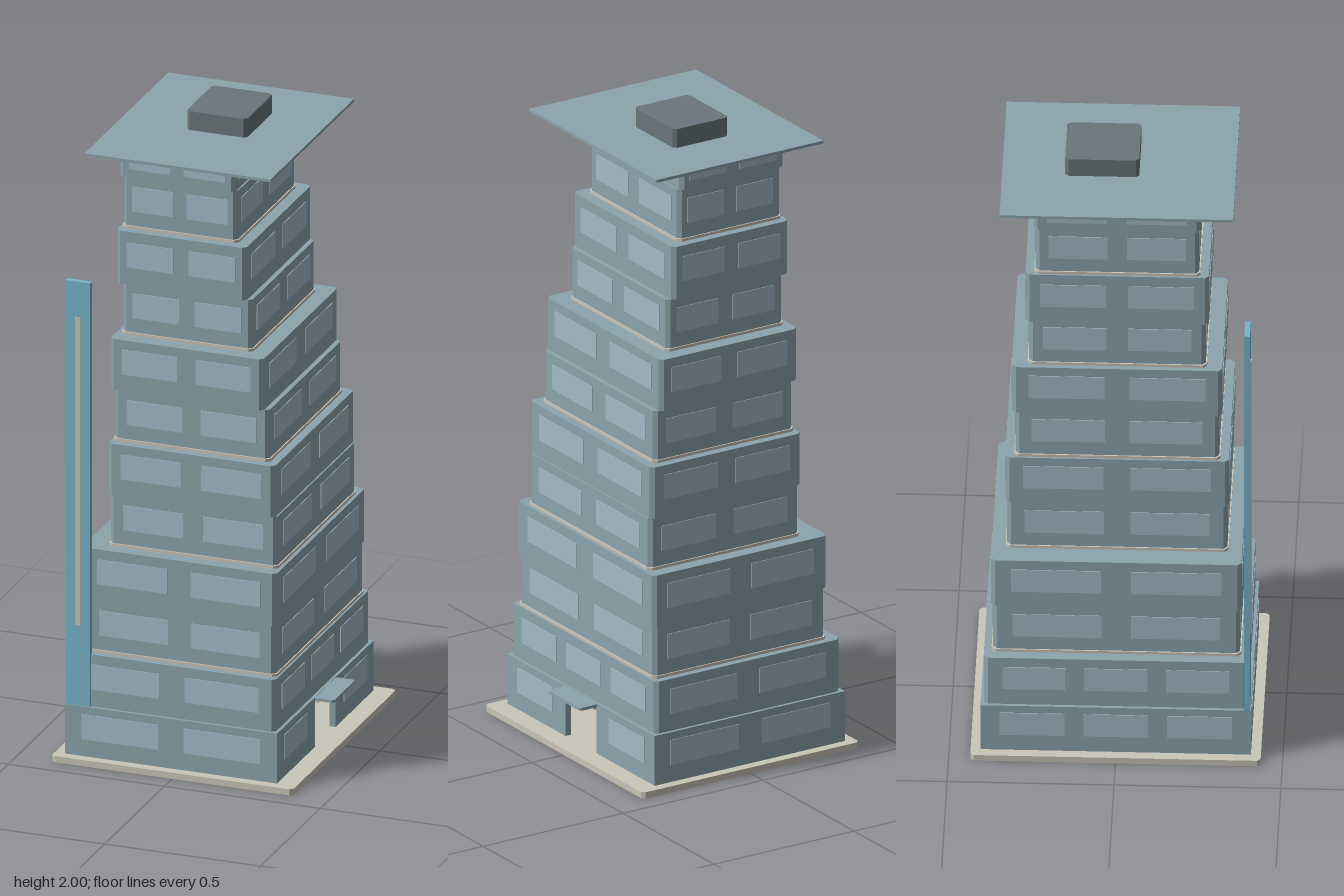
import * as THREE from 'three';

const mat = (name, color) => {
  const m = new THREE.MeshStandardMaterial({ color });
  m.name = name;
  return m;
};

export function createModel() {
  const wall = mat('blue grey wall', 0x8ca5ad);
  const glass = mat('pale window glass', 0xa4bccb);
  const stone = mat('beige stone', 0xcac6b9);
  const finBlue = mat('blue fin', 0x79b4cb);
  const dark = mat('dark roof grey', 0x69767b);
  const model = new THREE.Group();
  model.name = 'tower';

  function add(name, geometry, material, parent = model) {
    const mesh = new THREE.Mesh(geometry, material);
    mesh.name = name;
    parent.add(mesh);
    return mesh;
  }

  // Box given by its limits on each axis
  function box(name, material, x0, x1, y0, y1, z0, z1, parent) {
    const g = new THREE.BoxGeometry(x1 - x0, y1 - y0, z1 - z0);
    g.translate((x0 + x1) / 2, (y0 + y1) / 2, (z0 + z1) / 2);
    return add(name, g, material, parent);
  }

  // Upright block with chamfered vertical corners
  function block(name, material, x0, x1, y0, y1, z0, z1, c, parent) {
    const s = new THREE.Shape([
      [x0 + c, -z1], [x1 - c, -z1], [x1, -z1 + c], [x1, -z0 - c],
      [x1 - c, -z0], [x0 + c, -z0], [x0, -z0 - c], [x0, -z1 + c],
    ].map(([x, y]) => new THREE.Vector2(x, y)));
    const g = new THREE.ExtrudeGeometry(s, { depth: y1 - y0, bevelEnabled: false });
    g.rotateX(-Math.PI / 2).translate(0, y0, 0);
    return add(name, g, material, parent);
  }

  // Base slab
  block('baseSlab', stone, -0.387, 0.387, 0, 0.02, -0.435, 0.435, 0.01);

  // Storeys: bottom, top, right wall, left wall, half depth
  const storeys = [
    [0.02, 0.18, -0.355, 0.325, 0.405],
    [0.18, 0.347, -0.345, 0.315, 0.395],
    [0.347, 0.513, -0.307, 0.305, 0.37],
    [0.513, 0.68, -0.312, 0.31, 0.375],
    [0.68, 0.845, -0.24, 0.295, 0.33],
    [0.845, 1.01, -0.245, 0.29, 0.335],
    [1.01, 1.175, -0.235, 0.26, 0.305],
    [1.175, 1.34, -0.245, 0.245, 0.315],
    [1.34, 1.505, -0.225, 0.19, 0.265],
    [1.505, 1.675, -0.24, 0.175, 0.275],
    [1.675, 1.84, -0.23, 0.135, 0.245],
    [1.84, 1.935, -0.24, 0.13, 0.25],
  ];
  const pair = [[0.08, 0.44], [0.56, 0.92]];
  const triple = [[0.07, 0.31], [0.38, 0.62], [0.69, 0.93]];
  const t = 0.002;

  storeys.forEach(([y0, y1, x0, x1, z], i) => {
    const storey = new THREE.Group();
    storey.name = `storey${i + 1}`;
    model.add(storey);

    if (i === 0) {
      // Hollow ground floor with a doorway in the left wall
      const w = 0.02, d = 0.085, doorTop = 0.165;
      box('frontWall', wall, x0, x1, y0, y1, z - w, z, storey);
      box('backWall', wall, x0, x1, y0, y1, -z, -z + w, storey);
      box('rightWall', wall, x0, x0 + w, y0, y1, -z + w, z - w, storey);
      box('doorWallFront', wall, x1 - w, x1, y0, y1, d, z - w, storey);
      box('doorWallBack', wall, x1 - w, x1, y0, y1, -z + w, -d, storey);
      box('doorWallTop', wall, x1 - w, x1, doorTop, y1, -d, d, storey);
      box('ceiling', wall, x0 + w, x1 - w, y1 - 0.01, y1, -z + w, z - w, storey);
    } else {
      block('walls', wall, x0, x1, y0, y1, -z, z, 0.012, storey);
      // Stone band at the foot of each pair of storeys
      if (i % 2 === 0) {
        block('stoneBand', stone, x0 - 0.004, x1 + 0.004, y0 - 0.002, y0 + 0.009,
          -z - 0.004, z + 0.004, 0.012, storey);
      }
    }

    // Window plates on the four sides
    const top = i === 11;
    const wy0 = y0 + (top ? 0.027 : 0.055);
    const wy1 = wy0 + (top ? 0.05 : 0.08);
    for (const [a, b] of pair) {
      const xa = x0 + a * (x1 - x0), xb = x0 + b * (x1 - x0);
      box('frontWindow', glass, xa, xb, wy0, wy1, z, z + t, storey);
      box('backWindow', glass, xa, xb, wy0, wy1, -z - t, -z, storey);
    }
    (i < 2 ? triple : pair).forEach(([a, b], k) => {
      const za = z * (2 * a - 1), zb = z * (2 * b - 1);
      if (i > 0 || k !== 1) box('leftWindow', glass, x1, x1 + t, wy0, wy1, za, zb, storey);
      box('rightWindow', glass, x0 - t, x0, wy0, wy1, za, zb, storey);
    });
  });

  // Doorway lintel and canopy
  box('doorLintel', stone, 0.32, 0.335, 0.162, 0.17, -0.085, 0.085);
  block('doorCanopy', wall, 0.322, 0.387, 0.17, 0.179, -0.09, 0.09, 0.006);

  // Tall fin with a narrow stone strip
  box('fin', finBlue, -0.355, -0.275, 0.18, 1.545, 0.385, 0.402);
  box('finStrip', stone, -0.323, -0.305, 0.44, 1.43, 0.402, 0.406);

  // Overhanging roof and plant box
  box('roofSlab', wall, -0.313, 0.283, 1.931, 1.94, -0.35, 0.35);
  block('roofPlantBox', dark, -0.098, 0.096, 1.94, 2, -0.161, 0.061, 0.01);

  return model;
}
